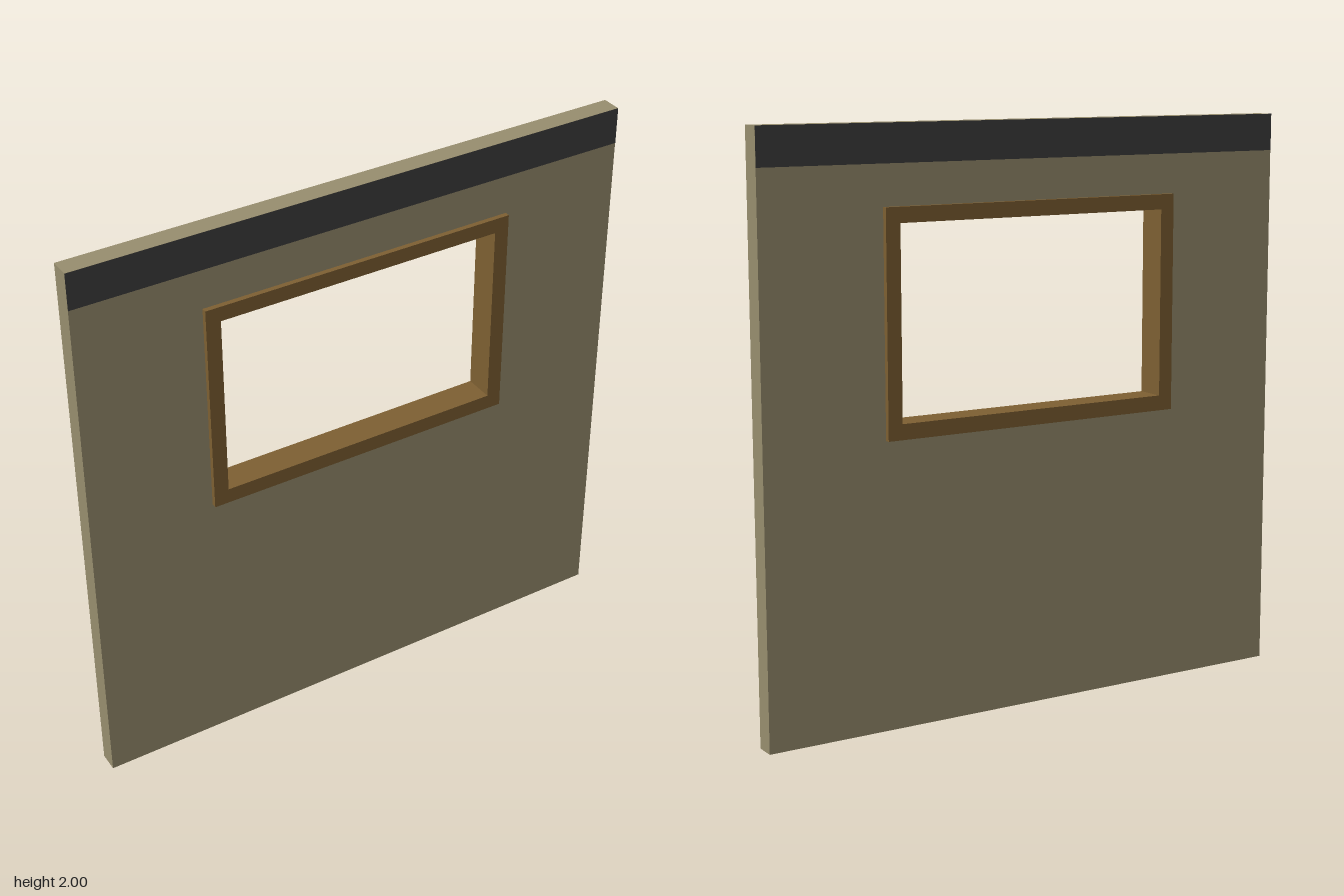
import * as THREE from 'three';

const WALL_HALF = 0.035, FRAME_HALF = 0.053;

// Adds a rectangle to a Shape or Path
function rect(path, x, y0, y1) {
  path.moveTo(-x, y0);
  path.lineTo(x, y0);
  path.lineTo(x, y1);
  path.lineTo(-x, y1);
  path.closePath();
  return path;
}

// Rectangular slab with a rectangular opening, centred on z = 0
function piercedSlab(name, outer, inner, half, material) {
  const shape = rect(new THREE.Shape(), ...outer);
  shape.holes.push(rect(new THREE.Path(), ...inner));
  const geometry = new THREE.ExtrudeGeometry(shape, { depth: 2 * half, bevelEnabled: false });
  geometry.translate(0, 0, -half);
  const mesh = new THREE.Mesh(geometry, material);
  mesh.name = name;
  return mesh;
}

export function createModel() {
  const group = new THREE.Group();
  group.name = 'wallWithWindow';
  const plaster = new THREE.MeshStandardMaterial({ color: 0x978d6e });
  const wood = new THREE.MeshStandardMaterial({ color: 0x7d5f32 });
  const dark = new THREE.MeshStandardMaterial({ color: 0x3d3d3d });

  // Wall panel; its opening tucks behind the frame except at the plaster soffit
  group.add(piercedSlab('wall', [1, 0, 2], [0.53, 1.01, 1.682], WALL_HALF, plaster));

  // Window frame, standing proud on both faces and lining the opening
  group.add(piercedSlab('windowFrame', [0.563, 0.98, 1.735], [0.511, 1.033, 1.683], FRAME_HALF, wood));

  // Painted band along the top of each face
  for (const side of [1, -1]) {
    const band = new THREE.Mesh(new THREE.PlaneGeometry(2, 0.128), dark);
    band.name = side > 0 ? 'frontBand' : 'backBand';
    band.position.set(0, 1.936, side * (WALL_HALF + 0.001));
    if (side < 0) band.rotation.y = Math.PI;
    group.add(band);
  }
  return group;
}
